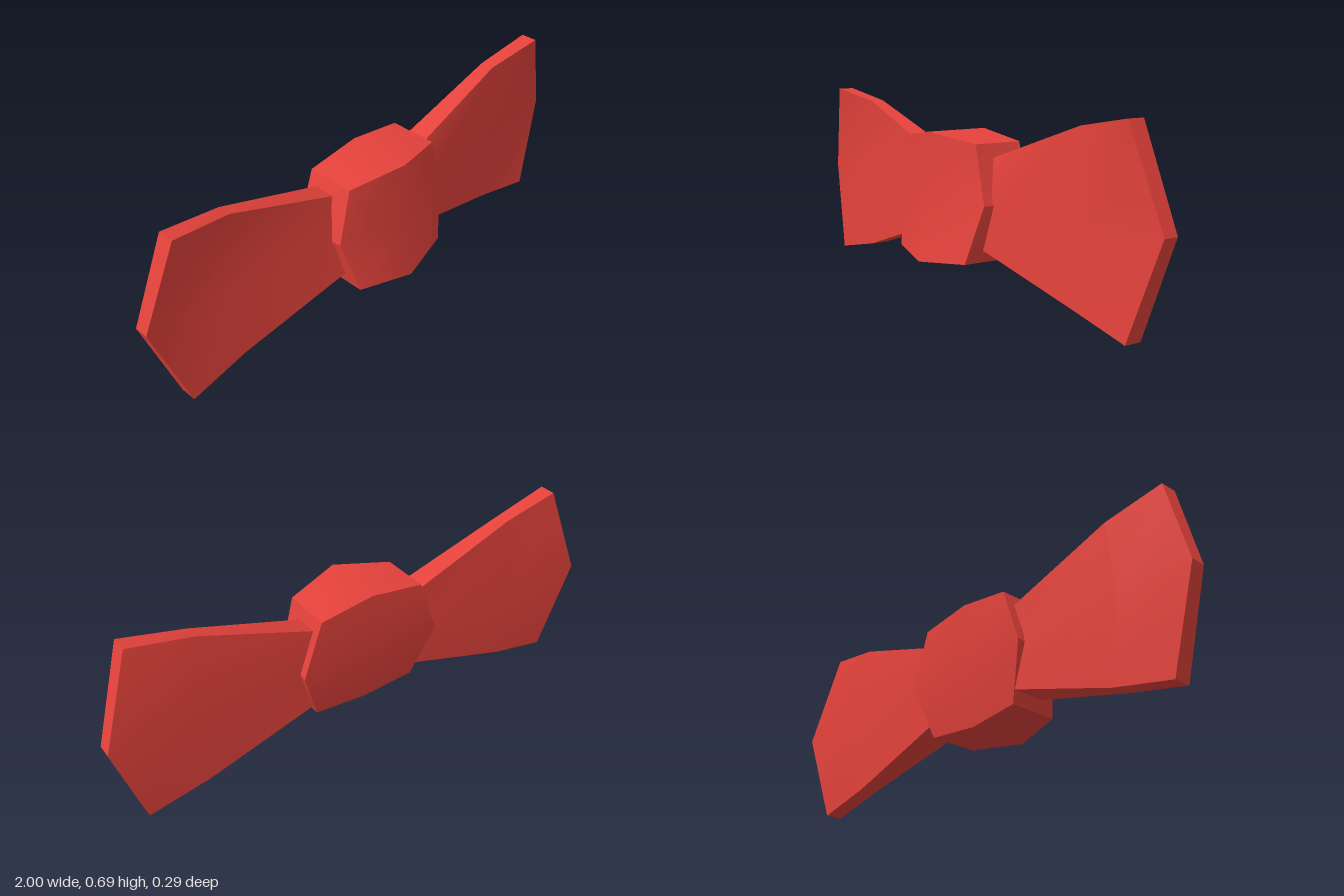
import * as THREE from 'three';

const red = new THREE.MeshStandardMaterial({ color: 0xe5423b });
red.name = 'red fabric';

// Smooth surface through columns of points (columns run right, rows run up)
function surface(cols, name) {
  const rows = cols[0].length, index = [];
  for (let i = 0; i < cols.length - 1; i++) {
    for (let j = 0; j < rows - 1; j++) {
      const a = i * rows + j, b = a + rows;
      index.push(a, b, b + 1, a, b + 1, a + 1);
    }
  }
  const g = new THREE.BufferGeometry();
  g.setAttribute('position', new THREE.Float32BufferAttribute(cols.flat(2), 3));
  g.setIndex(index);
  g.computeVertexNormals();
  const mesh = new THREE.Mesh(g, red);
  mesh.name = name;
  return mesh;
}

// Closed panel from front and back columns, with sharp rims
function panel(front, back, name) {
  const group = new THREE.Group();
  group.name = name;
  const top = front[0].length - 1, last = front.length - 1;
  group.add(
    surface(front, 'frontFace'),
    surface([...back].reverse(), 'backFace'),
    surface(front.map((c, i) => [c[top], back[i][top]]), 'topRim'),
    surface(front.map((c, i) => [back[i][0], c[0]]), 'bottomRim')
  );
  for (let j = 0; j < top; j++) {
    group.add(
      surface([front[last].slice(j, j + 2), back[last].slice(j, j + 2)], 'rightRim'),
      surface([back[0].slice(j, j + 2), front[0].slice(j, j + 2)], 'leftRim')
    );
  }
  return group;
}

const mirror = cols => cols.map(c => c.map(([x, y, z]) => [-x, y, z])).reverse();

export function createModel() {
  const model = new THREE.Group();
  model.name = 'bowTie';

  // Wing: inner, middle and outer columns, each bottom, middle, top
  const wingFront = [
    [[0.22, 0.185, 0.025], [0.22, 0.345, 0.013], [0.22, 0.505, -0.022]],
    [[0.65, 0.05, -0.036], [0.7, 0.345, -0.05], [0.65, 0.65, -0.042]],
    [[0.885, 0, -0.03], [1, 0.345, -0.065], [0.885, 0.69, -0.018]]
  ];
  const wingBack = [
    [[0.22, 0.185, -0.107], [0.22, 0.345, -0.107], [0.22, 0.505, -0.107]],
    [[0.65, 0.05, -0.1], [0.7, 0.345, -0.115], [0.65, 0.65, -0.095]],
    [[0.885, 0, -0.095], [1, 0.345, -0.12], [0.885, 0.69, -0.082]]
  ];
  model.add(panel(wingFront, wingBack, 'leftWing'));
  model.add(panel(mirror(wingFront), mirror(wingBack), 'rightWing'));

  // Knot: centre column and mirrored side columns
  const knotSide = (zs, xMid) => [[0.21, 0.137, zs[0]], [xMid, 0.345, zs[1]], [0.21, 0.555, zs[2]]];
  const knot = (side, centre) => [...mirror([side]), centre, side];
  const knotFront = knot(knotSide([0.09, 0.045, 0.045], 0.26),
    [[0, 0.117, 0.145], [0, 0.345, 0.105], [0, 0.585, 0.105]]);
  const knotBack = knot(knotSide([-0.1, -0.143, -0.143], 0.283),
    [[0, 0.117, -0.095], [0, 0.345, -0.143], [0, 0.585, -0.143]]);
  model.add(panel(knotFront, knotBack, 'knot'));

  return model;
}
